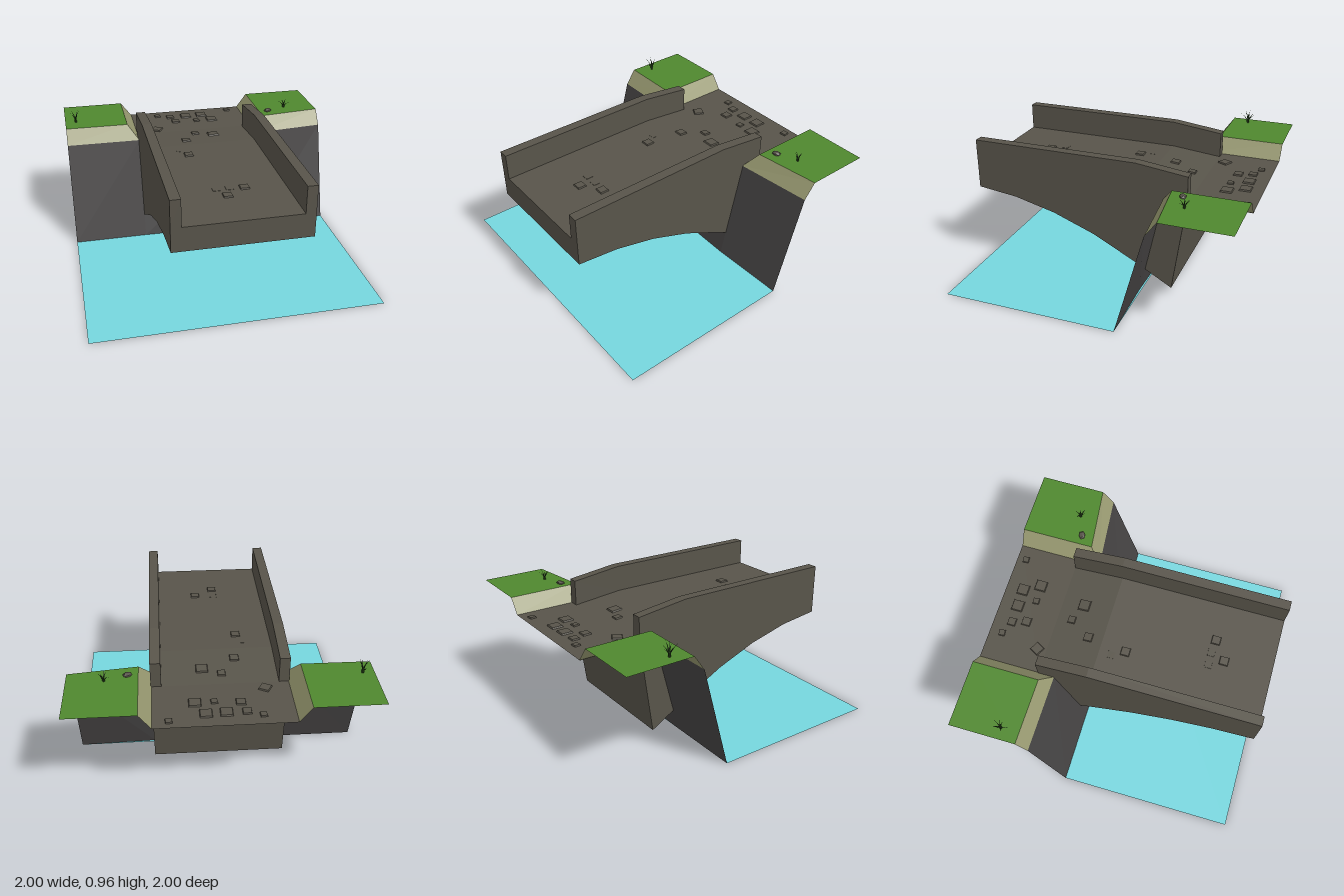
import * as THREE from 'three';

const mat = (color) => new THREE.MeshStandardMaterial({ color, flatShading: true, side: THREE.DoubleSide });
const stone = mat(0x58544a), cliffRock = mat(0x464444), earth = mat(0x96976f);
const grass = mat(0x4f882e), water = mat(0x76d6de), blade = mat(0x2c4a20);

function add(group, name, geometry, material) {
  const mesh = new THREE.Mesh(geometry, material);
  mesh.name = name;
  group.add(mesh);
  return mesh;
}

// Quads given as four corners each, anticlockwise from the outside
function quads(...list) {
  const pos = [];
  for (const [a, b, c, d] of list) pos.push(...a, ...b, ...c, ...a, ...c, ...d);
  const g = new THREE.BufferGeometry();
  g.setAttribute('position', new THREE.Float32BufferAttribute(pos, 3));
  g.computeVertexNormals();
  return g;
}

// Side profile of [z, y] points, extruded from x0 to x1
function profile(points, x0, x1) {
  const shape = new THREE.Shape(points.map(([z, y]) => new THREE.Vector2(-z, y)));
  const g = new THREE.ExtrudeGeometry(shape, { depth: x1 - x0, bevelEnabled: false });
  return g.rotateY(Math.PI / 2).translate(x0, 0, 0);
}

const deckY = (z) => (z > -0.2 ? 0.77 : Math.max(0.733, 0.77 - (-0.2 - z) * 0.1));

// Tuft of bent, tapering blades fanning out from one root
function tuft(name, x, z, height, spread, count, turn) {
  const g = new THREE.Group();
  g.name = name;
  for (let i = 0; i < count; i++) {
    const h = height * (1 - 0.13 * (i % 3));
    const geo = new THREE.ConeGeometry(0.008, h, 3, 3).translate(0, h / 2, 0);
    const p = geo.attributes.position;
    for (let j = 0; j < p.count; j++) {
      const t = p.getY(j) / h;
      p.setX(j, p.getX(j) + spread * (0.5 + 0.25 * (i % 3)) * t * t);
    }
    geo.computeVertexNormals();
    add(g, 'grassBlade', geo, blade).rotation.y = turn + (i * 2 * Math.PI) / count;
  }
  g.position.set(x, 0.84, z);
  return g;
}

export function createModel() {
  const model = new THREE.Group();
  model.name = 'bridgeAndShore';

  // Bridge: half-arch body, deck and two parapets
  const bridge = new THREE.Group();
  bridge.name = 'bridge';
  model.add(bridge);
  const arch = [[1, 0.6], [0.71, 0.565], [0.41, 0.49], [0.11, 0.375], [-0.2, 0.215], [-0.47, 0.06]];
  add(bridge, 'archBody', profile([...arch, [-0.565, 0.733], [-0.2, 0.77], [1, 0.77]], -0.46, 0.46), stone);
  const wall = [[1, 0.77], [-0.2, 0.77], [-0.565, 0.733], [-0.565, 0.915], [-0.2, 0.96], [1, 0.96]];
  add(bridge, 'leftParapet', profile(wall, 0.39, 0.46), stone);
  add(bridge, 'rightParapet', profile(wall, -0.46, -0.39), stone);

  // Road leading onto the bridge
  add(model, 'road', quads([
    [-0.46, 0.733, -0.56], [0.46, 0.733, -0.56], [0.46, 0.733, -1], [-0.46, 0.733, -1],
  ]), stone);

  // Loose paving stones: x, z, size, turn, height
  const stones = [
    [-0.245, -0.91, 0.05, 0.1], [-0.145, -0.87, 0.065, 0], [-0.015, -0.87, 0.09, 0],
    [0.115, -0.875, 0.09, 0], [0.35, -0.935, 0.05, 0.1], [-0.115, -0.77, 0.07, 0],
    [0.055, -0.755, 0.05, 0.1], [0.18, -0.76, 0.09, 0], [-0.29, -0.63, 0.08, -0.5],
    [-0.015, -0.46, 0.06, 0], [0.115, -0.405, 0.09, 0], [-0.115, -0.305, 0.07, 0],
    [-0.15, -0.02, 0.07, 0], [0.11, 0.57, 0.07, 0], [-0.025, 0.66, 0.07, 0],
    [-0.08, 0.56, 0.06, 0, 0.002], [0.01, 0.56, 0.06, 0, 0.002], [-0.2, -0.11, 0.06, 0, 0.001],
  ];
  const paving = new THREE.Group();
  paving.name = 'pavingStones';
  model.add(paving);
  for (const [x, z, size, turn, rise = 0.01] of stones) {
    const r = size / Math.SQRT2;
    const geo = new THREE.CylinderGeometry(r * 0.82, r, 0.02, 4).rotateY(Math.PI / 4);
    const s = add(paving, 'pavingStone', geo, stone);
    s.position.set(x, deckY(z) + rise - 0.01, z);
    s.rotation.set(z < -0.2 && z > -0.56 ? -0.1 : 0, turn, 0);
  }

  // Cliff face, passing behind the arch
  const foot = [[-1, 0, -0.255], [-0.46, 0, -0.255], [0.46, 0, -0.24], [1, 0, -0.255]];
  const brow = [[-1, 0.733, -0.455], [-0.455, 0.733, -0.45], [0.455, 0.733, -0.4], [1, 0.733, -0.455]];
  const face = [0, 1, 2].map((i) => [foot[i], foot[i + 1], brow[i + 1], brow[i]]);
  add(model, 'cliff', quads(...face), cliffRock);

  // Grassy banks with earth slopes to the cliff and to the road
  const banks = [
    { name: 'rightBank', s: -1, low: brow[1], lowOuter: brow[0], top: -0.525, topOuter: -0.53 },
    { name: 'leftBank', s: 1, low: brow[2], lowOuter: brow[3], top: -0.48, topOuter: -0.535 },
  ];
  for (const { name, s, low, lowOuter, top, topOuter } of banks) {
    const bank = new THREE.Group();
    bank.name = name;
    model.add(bank);
    const corner = [s * 0.535, 0.84, top], outer = [s, 0.84, topOuter];
    const back = [s * 0.535, 0.84, -1], lowBack = [s * 0.455, 0.733, -1];
    const flip = (q) => (s > 0 ? q : q.reverse());
    add(bank, 'grassTop', quads(flip([corner, outer, [s, 0.84, -1], back])), grass);
    add(bank, 'earthSlope', quads(
      flip([low, lowOuter, outer, corner]),
      flip([lowBack, low, corner, back]),
    ), earth);
  }

  // Water surface
  add(model, 'water', quads([[-1, 0, 1], [1, 0, 1], [1, 0, -0.255], [-1, 0, -0.255]]), water);

  // Plants and a small rock on the banks
  model.add(tuft('rightGrassTuft', -0.92, -0.655, 0.1, 0.065, 7, 0.2));
  model.add(tuft('leftGrassTuft', 0.755, -0.63, 0.07, 0.05, 6, 0.5));
  const rock = add(model, 'rock', new THREE.IcosahedronGeometry(0.034, 0), stone);
  rock.scale.set(1, 0.5, 0.75);
  rock.rotation.y = 0.4;
  rock.position.set(0.605, 0.845, -0.575);

  return model;
}
